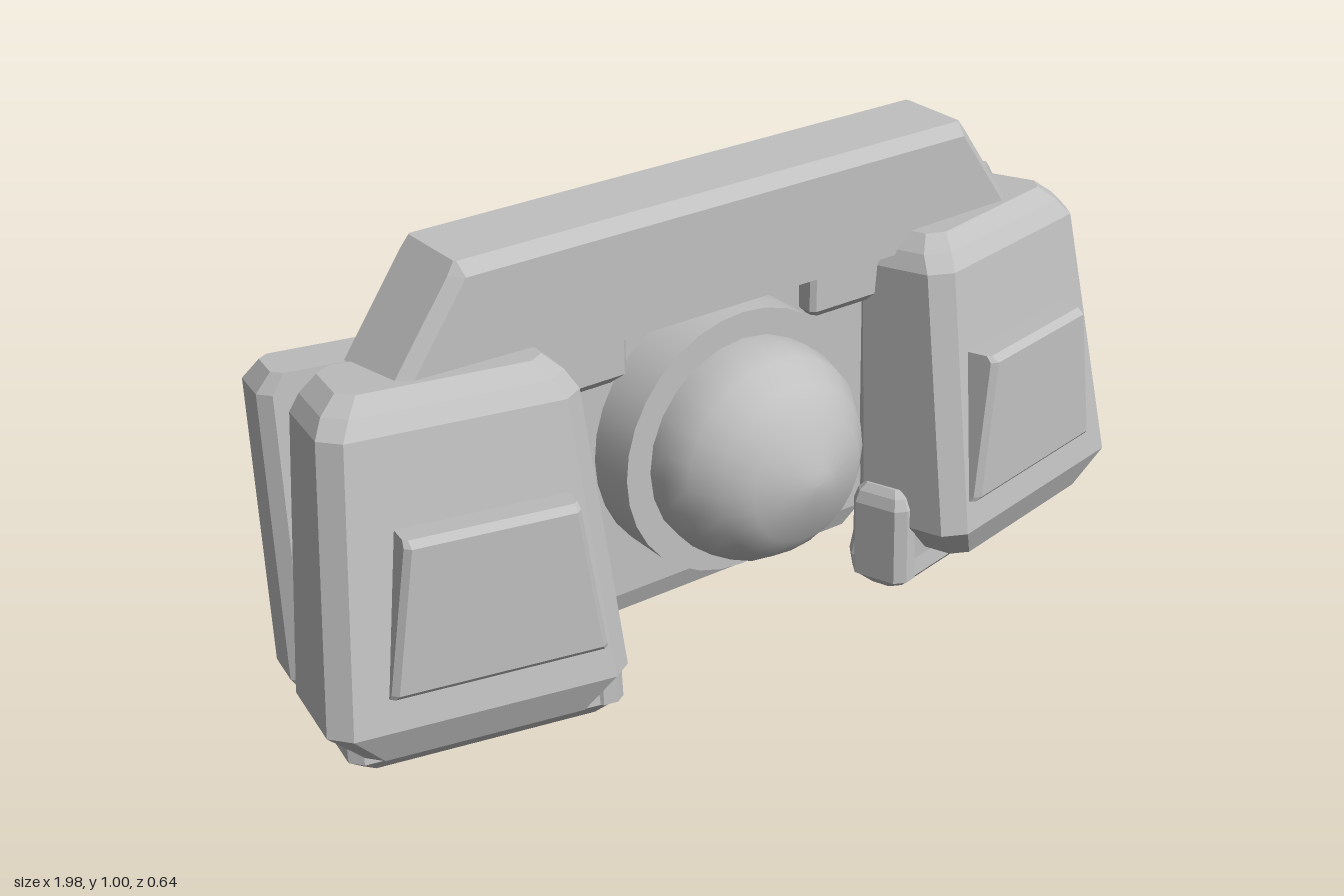
import * as THREE from 'three';

// Chamfered block lofted upward through levels [y, x0, x1, z0, z1, chamfer].
// side = -1 mirrors the block across x.
function block(levels, side = 1) {
  const rings = levels.map(([y, a, b, z0, z1, c]) => {
    const x0 = side > 0 ? a : -b;
    const x1 = side > 0 ? b : -a;
    return [
      [x0 + c, z1], [x1 - c, z1], [x1, z1 - c], [x1, z0 + c],
      [x1 - c, z0], [x0 + c, z0], [x0, z0 + c], [x0, z1 - c],
    ].map(([x, z]) => [x, y, z]);
  });
  const pos = [];
  const tri = (...corners) => corners.forEach((p) => pos.push(...p));
  for (let k = 0; k < rings.length - 1; k++) {
    for (let i = 0; i < 8; i++) {
      const j = (i + 1) % 8;
      tri(rings[k][i], rings[k][j], rings[k + 1][j]);
      tri(rings[k][i], rings[k + 1][j], rings[k + 1][i]);
    }
  }
  const bottom = rings[0];
  const top = rings[rings.length - 1];
  for (let i = 1; i < 7; i++) {
    tri(top[0], top[i], top[i + 1]);
    tri(bottom[0], bottom[i + 1], bottom[i]);
  }
  const geometry = new THREE.BufferGeometry();
  geometry.setAttribute('position', new THREE.Float32BufferAttribute(pos, 3));
  geometry.computeVertexNormals();
  return geometry;
}

export function createModel() {
  const model = new THREE.Group();
  model.name = 'model';
  const grey = new THREE.MeshStandardMaterial({ color: 0xc0c0c0 });
  grey.name = 'light grey';

  const add = (parent, name, geometry) => {
    const mesh = new THREE.Mesh(geometry, grey);
    mesh.name = name;
    parent.add(mesh);
    return mesh;
  };

  // Central body and the bar across its top
  add(model, 'body', block([
    [0.09, -0.41, 0.41, -0.29, -0.05, 0.03],
    [0.14, -0.44, 0.44, -0.32, -0.03, 0.03],
    [0.765, -0.44, 0.44, -0.32, -0.03, 0.03],
    [0.79, -0.43, 0.43, -0.305, -0.035, 0.03],
    [0.815, -0.41, 0.41, -0.29, -0.05, 0.03],
  ]));
  add(model, 'topBar', block([
    [0.755, -0.78, 0.78, -0.17, 0.045, 0.025],
    [0.975, -0.627, 0.627, -0.17, 0.045, 0.025],
    [1.0, -0.61, 0.61, -0.145, 0.02, 0.004],
  ]));

  // Round base and domed nose
  const disc = add(model, 'domeBase', new THREE.CylinderGeometry(0.285, 0.285, 0.13, 32));
  disc.rotation.x = Math.PI / 2;
  disc.position.set(0, 0.47, 0.015);
  const profile = [
    [0.228, 0.07], [0.232, 0.13], [0.218, 0.185], [0.18, 0.24],
    [0.132, 0.286], [0.035, 0.32], [0, 0.322],
  ].map(([r, h]) => new THREE.Vector2(r, h));
  const dome = add(model, 'dome', new THREE.LatheGeometry(profile, 24));
  dome.rotation.x = Math.PI / 2;
  dome.position.set(0, 0.47, 0);

  for (const side of [1, -1]) {
    const label = side > 0 ? 'left' : 'right';

    // Tab under the bar
    add(model, label + 'Tab', block([
      [0.645, 0.25, 0.40, -0.1, -0.005, 0.01],
      [0.665, 0.23, 0.42, -0.1, 0.015, 0.01],
      [0.77, 0.23, 0.42, -0.1, 0.015, 0.01],
    ], side));

    // Side pod, turned outward and leaning back
    const pod = new THREE.Group();
    pod.name = label + 'Pod';
    pod.position.set(0.67 * side, 0.45, 0.05);
    pod.rotation.set(-0.1, 0.21 * side, 0, 'YXZ');
    model.add(pod);

    add(pod, 'podShell', block([
      [-0.355, -0.235, 0.225, -0.12, 0.108, 0.03],
      [-0.28, -0.3, 0.3, -0.14, 0.147, 0.04],
      [0.285, -0.255, 0.25, -0.14, 0.107, 0.04],
      [0.32, -0.235, 0.23, -0.135, 0.085, 0.04],
      [0.352, -0.2, 0.195, -0.12, 0.055, 0.03],
    ], side));

    // Raised plate on the pod front
    add(pod, 'frontPlate', block([
      [-0.21, -0.245, 0.185, 0.08, 0.155, 0.008],
      [-0.2, -0.243, 0.183, 0.08, 0.165, 0.012],
      [0.095, -0.2, 0.14, 0.08, 0.19, 0.012],
      [0.108, -0.198, 0.138, 0.08, 0.175, 0.008],
    ], side));

    // Panel behind the pod
    add(pod, 'rearPanel', block([
      [-0.325, -0.2, 0.265, -0.25, -0.13, 0.02],
      [-0.28, -0.22, 0.295, -0.28, -0.13, 0.025],
      [0.31, -0.22, 0.295, -0.28, -0.13, 0.025],
      [0.35, -0.2, 0.265, -0.25, -0.13, 0.02],
    ], side));

    // Foot below the pod with its inner upright
    add(pod, 'foot', block([
      [-0.442, -0.295, 0.2, -0.11, -0.025, 0.02],
      [-0.41, -0.325, 0.235, -0.14, 0.01, 0.025],
      [-0.37, -0.325, 0.235, -0.145, 0.01, 0.025],
      [-0.3, -0.31, 0.22, -0.13, 0.02, 0.02],
    ], side));
    add(pod, 'footUpright', block([
      [-0.41, -0.33, -0.26, -0.13, 0.015, 0.02],
      [-0.24, -0.325, -0.26, -0.12, 0.025, 0.02],
      [-0.215, -0.315, -0.265, -0.11, 0.015, 0.015],
      [-0.2, -0.3, -0.27, -0.095, 0, 0.01],
    ], side));
  }
  return model;
}
